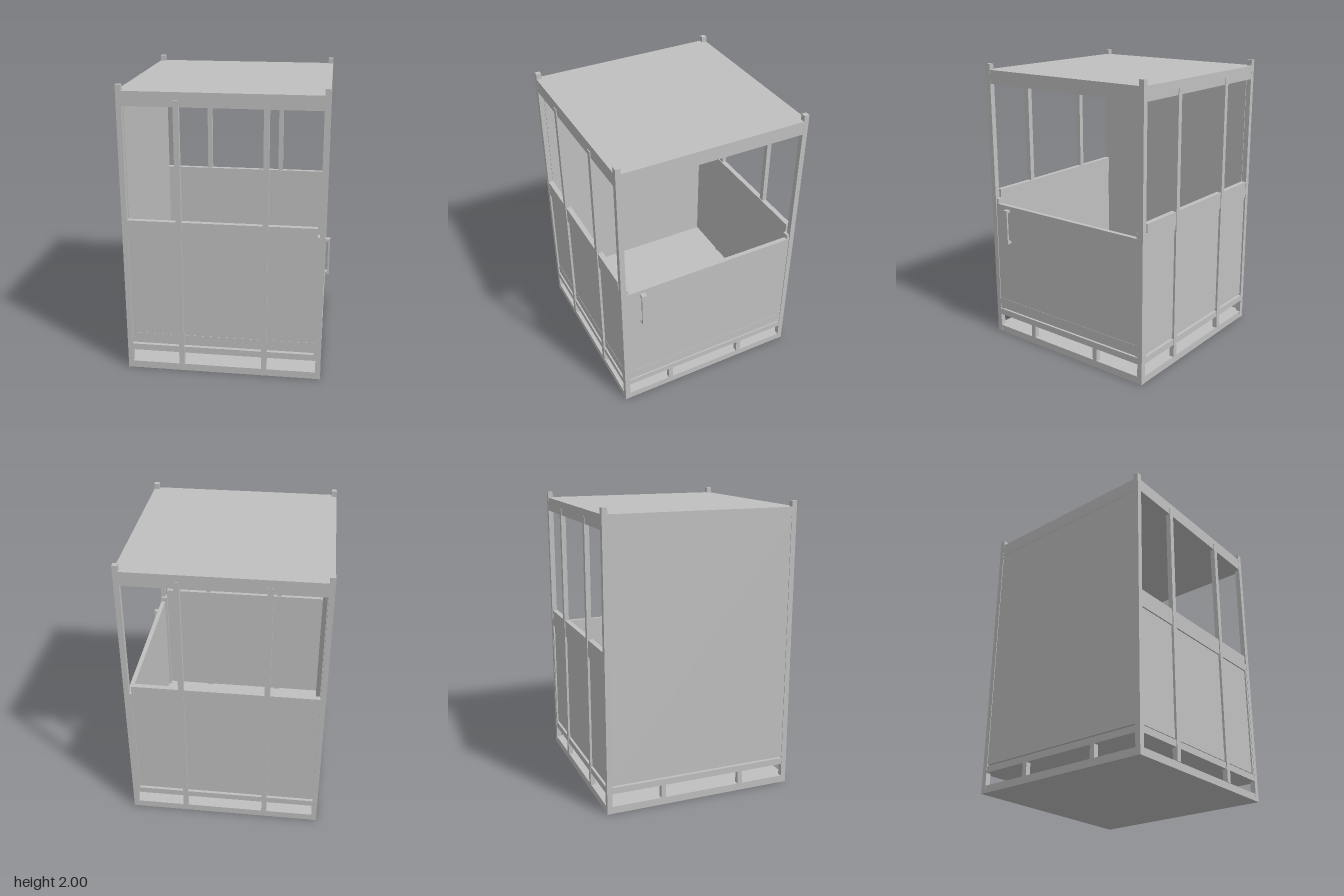
import * as THREE from 'three';

export function createModel() {
  const cabin = new THREE.Group();
  cabin.name = 'cabin';
  const grey = new THREE.MeshStandardMaterial({ color: 0xc0c0c0 });
  grey.name = 'light grey';

  // Box given by its minimum and maximum on each axis
  function box(name, x0, x1, y0, y1, z0, z1) {
    const mesh = new THREE.Mesh(new THREE.BoxGeometry(x1 - x0, y1 - y0, z1 - z0), grey);
    mesh.name = name;
    mesh.position.set((x0 + x1) / 2, (y0 + y1) / 2, (z0 + z1) / 2);
    cabin.add(mesh);
  }

  // Outer limits of the frame and thickness of its posts
  const L = -0.686, R = 0.656, B = -0.671, F = 0.669, T = 0.036, e = 0.001;

  // Base plate, floor and roof
  box('basePlate', L + e, R - e, 0, 0.05, B + e, F - e);
  box('floor', L + e, R - e, 0.14, 0.185, B + e, F - e);
  box('roof', L + e, R - e, 1.865, 1.96, B + e, F - e);

  // Corner posts
  for (const x of [L, R - T])
    for (const z of [B, F - T]) box('cornerPost', x, x + T, 0, 2, z, z + T);

  // Short spacers between base and floor on both sides
  for (const x of [L + e, R - T])
    for (const z of [-0.29, 0.285]) box('baseSpacer', x, x + T - e, 0.05, 0.14, z, z + 0.035);

  // Front and back walls: panel, rail, uprights and door guide
  for (const s of [-1, 1]) {
    const face = s > 0 ? F : B;
    const wall = (name, x0, x1, y0, y1, outer, inner) => {
      const a = face + s * outer, b = face - s * inner;
      box(name, x0, x1, y0, y1, Math.min(a, b), Math.max(a, b));
    };
    wall('wallPanel', L + T, R - T, 0.195, 0.985, -0.012, 0.03);
    wall('wallRail', L + T, 0.605, 0.98, 1.1, -0.002, 0.038);
    wall('doorGuide', 0.605, R - 0.008, 0.185, 1.04, -0.002, 0.055);
    for (const x of [-0.322, 0.25])
      wall('wallUpright', x, x + 0.036, 0.05, 1.91, s > 0 ? 0.005 : 0.003, 0.03);
  }
  box('frontKickStrip', L + T, R - T, 0.195, 0.27, F - 0.02, F - 0.01);

  // Full-height wall on the right
  box('rightWallPanel', L + 0.004, L + 0.041, 0.195, 1.866, B + T, F - T);

  // Half-height door on the left, with kick strip
  box('doorPanel', R - 0.036, R - 0.005, 0.195, 1.005, B + T, F - T);
  box('doorKickStrip', R - 0.01, R - 0.003, 0.195, 0.27, B + T, F - T);

  // Door handle
  box('handleGrip', 0.674, 0.686, 0.73, 0.98, 0.498, 0.534);
  for (const y of [0.73, 0.962]) box('handleMount', R - 0.008, 0.676, y, y + 0.018, 0.498, 0.534);

  return cabin;
}
